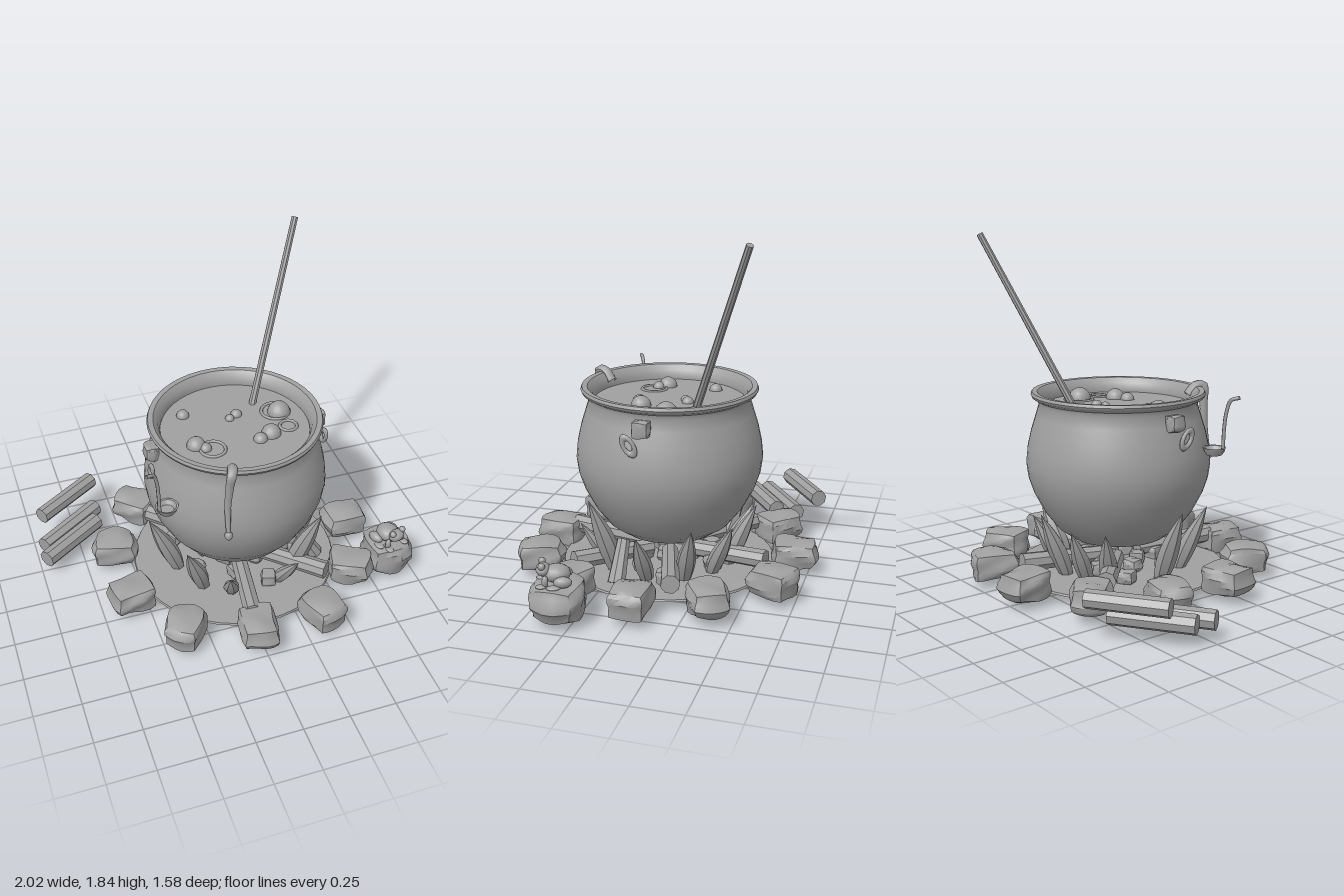
import * as THREE from 'three';
import { mergeVertices, toCreasedNormals } from 'three/addons/utils/BufferGeometryUtils.js';

const V = (x, y, z) => new THREE.Vector3(x, y, z);
const grey = new THREE.MeshStandardMaterial({ color: 0xa0a0a0, side: THREE.DoubleSide });
grey.name = 'plain grey';
const CX = 0.07, CZ = -0.01; // pot axis

export function createModel() {
  const root = new THREE.Group();
  root.name = 'cauldronOnFire';

  function add(name, geo, x = 0, y = 0, z = 0, parent = root) {
    const m = new THREE.Mesh(geo, grey);
    m.name = name;
    m.position.set(x, y, z);
    parent.add(m);
    return m;
  }
  // Straight round bar between two points
  function bar(name, a, b, ra, rb, sides) {
    const geo = toCreasedNormals(new THREE.CylinderGeometry(rb, ra, a.distanceTo(b), sides), 0.5);
    const mid = a.clone().add(b).multiplyScalar(0.5);
    const m = add(name, geo, mid.x, mid.y, mid.z);
    m.quaternion.setFromUnitVectors(V(0, 1, 0), b.clone().sub(a).normalize());
    return m;
  }
  const lathe = (pts, seg) =>
    toCreasedNormals(new THREE.LatheGeometry(pts.map(p => new THREE.Vector2(...p)), seg), 0.7);

  // Box pulled towards a rounded, lumpy rock
  function rockGeometry(w, h, d, seed) {
    let geo = new THREE.BoxGeometry(1, 1, 1, 5, 5, 5);
    geo.deleteAttribute('uv');
    geo.deleteAttribute('normal');
    geo = mergeVertices(geo, 1e-4);
    const p = geo.attributes.position, v = V(0, 0, 0);
    for (let i = 0; i < p.count; i++) {
      v.fromBufferAttribute(p, i);
      const ball = v.clone().normalize().multiplyScalar(0.58);
      v.lerp(ball, 0.55);
      const bump = 1 + 0.07 * Math.sin(7 * v.x + seed * 2.3) * Math.cos(6 * v.z + seed)
        + 0.06 * Math.sin(9 * v.y + 5 * v.x + seed * 1.7);
      p.setXYZ(i, v.x * w * bump, v.y * h * bump, v.z * d * bump);
    }
    return toCreasedNormals(geo, 0.55);
  }

  // Shallow ash bed
  add('ashBed', lathe([[0, 0], [0.25, 0.005], [0.45, 0.025], [0.57, 0.05], [0.565, 0.06],
    [0.4, 0.065], [0, 0.075]], 40), 0.065, 0, -0.005);

  // Cauldron with flared lip and inner wall
  add('pot', lathe([[0, 0.2], [0.15, 0.205], [0.25, 0.23], [0.33, 0.285], [0.4, 0.375], [0.455, 0.48],
    [0.482, 0.56], [0.493, 0.64], [0.485, 0.72], [0.465, 0.81], [0.44, 0.89], [0.422, 0.95],
    [0.43, 0.975], [0.457, 0.99], [0.464, 1.005], [0.458, 1.02], [0.43, 1.018], [0.405, 0.99],
    [0.395, 0.95], [0.4, 0.9]], 48), CX, 0, CZ);

  // Brew, bubbles and ripples
  const level = 0.94;
  add('brew', new THREE.CircleGeometry(0.4, 48).rotateX(-Math.PI / 2), CX, level, CZ);
  [[-0.16, -0.2, 0.035], [-0.17, 0.07, 0.05], [-0.13, 0.11, 0.032], [0.07, -0.095, 0.025],
    [0.115, -0.12, 0.031], [0.34, -0.07, 0.062], [0.235, 0.095, 0.053], [0.165, 0.125, 0.038]]
    .forEach(([x, z, r]) => add('bubble', new THREE.SphereGeometry(r, 16, 10), x, level, z));
  [[-0.095, 0.125, 0.065], [0.325, -0.085, 0.075], [0.345, 0.06, 0.045]].forEach(([x, z, r]) =>
    add('ripple', new THREE.TorusGeometry(r, 0.009, 6, 28).rotateX(Math.PI / 2), x, level, z));

  // Stirring stick
  bar('stirringStick', V(0.22, 0.9, -0.18), V(0.58, 1.835, -0.535), 0.021, 0.018, 8);

  // Side lugs, each with a hanging link
  for (const s of [-1, 1]) {
    add('lug', rockGeometry(0.07, 0.085, 0.085, s + 4), CX + s * 0.465, 0.91, 0);
    add('lugPlate', new THREE.BoxGeometry(0.05, 0.075, 0.08), CX + s * 0.455, 0.91, 0);
    const link = add('link', new THREE.TorusGeometry(0.026, 0.011, 8, 16).scale(1, 1.8, 1),
      CX + s * 0.482, 0.825, 0.06);
    link.rotation.set(0.55, Math.PI / 2, 0);
  }

  // Drip running over the lip
  const drip = new THREE.CatmullRomCurve3([V(-0.07, 0.97, 0.36), V(-0.085, 1.02, 0.4), V(-0.1, 1.02, 0.44),
    V(-0.11, 0.94, 0.435), V(-0.12, 0.8, 0.435), V(-0.125, 0.65, 0.46)]);
  const dripGeo = new THREE.TubeGeometry(drip, 30, 0.03, 8);
  const dp = dripGeo.attributes.position;
  for (let i = 0; i < dp.count; i++) { // thins as it runs down
    const t = Math.floor(i / 9) / 30, c = drip.getPointAt(t);
    const q = V(0, 0, 0).fromBufferAttribute(dp, i).sub(c).multiplyScalar(1 - 0.6 * t).add(c);
    dp.setXYZ(i, q.x, q.y, q.z);
  }
  dripGeo.computeVertexNormals();
  add('drip', dripGeo);
  add('dripDrop', new THREE.SphereGeometry(0.021, 12, 10).scale(1, 1.3, 1), -0.125, 0.64, 0.463);

  // Ladle hooked beside the pot
  add('ladleCup', lathe([[0, 0.71], [0.04, 0.712], [0.052, 0.73], [0.06, 0.752], [0.05, 0.75],
    [0.035, 0.728], [0, 0.725]], 16), -0.39, 0, 0.265);
  add('ladleHandle', new THREE.TubeGeometry(new THREE.CatmullRomCurve3([V(-0.435, 0.735, 0.285),
    V(-0.437, 0.84, 0.287), V(-0.445, 0.94, 0.295), V(-0.465, 1.005, 0.308), V(-0.505, 1.02, 0.33)]), 20, 0.01, 6));

  // Ring of stones: x, z
  [[-0.03, -0.68], [0.35, -0.63], [0.64, -0.37], [0.745, -0.01], [0.63, 0.36], [0.355, 0.62],
    [-0.02, 0.64], [-0.38, 0.51], [-0.59, 0.19], [-0.58, -0.2], [-0.38, -0.52]].forEach(([x, z], i) => {
    const stone = add('stone', rockGeometry(0.23, 0.145, 0.19, i * 1.9), x, 0.11, z);
    stone.rotation.y = -Math.atan2(z - CZ, x - CX) + 0.12 * Math.sin(i * 2.1);
  });
  add('toadStone', rockGeometry(0.25, 0.18, 0.24, 3.3), 0.87, 0.125, 0.32);

  // Toad sitting on its stone
  const toad = new THREE.Group();
  toad.name = 'toad';
  toad.position.set(0.865, 0.2, 0.325);
  toad.rotation.y = 0.35;
  root.add(toad);
  const blob = (name, r, x, y, z, sx = 1, sy = 1, sz = 1) =>
    add(name, new THREE.SphereGeometry(r, 14, 10).scale(sx, sy, sz), x, y, z, toad);
  blob('toadBody', 0.06, 0, 0.058, 0, 1, 0.75, 1.15);
  blob('toadHead', 0.045, 0, 0.08, 0.065, 1.1, 0.7, 0.8);
  for (const s of [-1, 1]) {
    blob('toadEye', 0.018, s * 0.036, 0.108, 0.07);
    blob('toadThigh', 0.035, s * 0.062, 0.035, -0.03, 0.8, 0.8, 1.3);
    blob('toadHindFoot', 0.022, s * 0.078, 0.014, 0.015, 1, 0.5, 1.6);
    blob('toadFrontLeg', 0.018, s * 0.05, 0.035, 0.055, 0.9, 1.7, 0.9);
    blob('toadFrontFoot', 0.02, s * 0.055, 0.012, 0.075, 1, 0.5, 1.4);
  }

  // Logs under the pot: outer end x, z
  [[0.18, -0.56], [-0.33, -0.39], [0.61, -0.17], [0.47, 0.39], [-0.02, 0.56]].forEach(([x, z]) =>
    bar('fireLog', V(x, 0.145, z), V(CX + (x - CX) * 0.2, 0.13, CZ + (z - CZ) * 0.2), 0.05, 0.045, 8));
  bar('leaningLog', V(0.5, 0.06, 0.15), V(0.39, 0.26, 0.145), 0.048, 0.034, 8);

  // Spare firewood beside the ring
  bar('spareLog', V(-0.94, 0.21, -0.48), V(-0.6, 0.21, -0.71), 0.047, 0.047, 8);
  bar('spareLog', V(-0.96, 0.105, -0.34), V(-0.61, 0.105, -0.58), 0.05, 0.05, 8);
  bar('spareLog', V(-0.97, 0.105, -0.23), V(-0.63, 0.105, -0.46), 0.05, 0.05, 8);

  // Embers in the middle
  for (let i = 0; i < 14; i++) {
    const a = i * 2.4, r = 0.08 + 0.022 * i;
    add('ember', rockGeometry(0.09, 0.07, 0.08, i), CX + r * Math.cos(a), 0.1, CZ + r * Math.sin(a)).rotation.y = a;
  }

  // Flames: bulged spikes curling outwards, given by tip x, y, z
  [[0.46, 0.48, 0.31], [0.555, 0.34, 0.03], [0.48, 0.38, -0.24], [0.3, 0.35, -0.41], [0.1, 0.41, -0.49],
    [-0.43, 0.45, 0.02], [-0.3, 0.41, 0.3], [-0.1, 0.28, 0.43], [-0.27, 0.36, -0.35], [-0.1, 0.35, -0.44],
    [0.29, 0.28, 0.42]].forEach(([x, y, z]) => {
    const tip = V(x, y, z), base = V(CX + (x - CX) * 0.68, 0.05, CZ + (z - CZ) * 0.68);
    const bend = V(CX + (x - CX) * 0.8, y * 0.55, CZ + (z - CZ) * 0.8);
    const curve = new THREE.QuadraticBezierCurve3(base, bend, tip);
    const geo = new THREE.CylinderGeometry(1, 1, 1, 7, 8);
    const p = geo.attributes.position, w = 0.028 + 0.06 * y;
    for (let i = 0; i < p.count; i++) {
      const t = p.getY(i) + 0.5, c = curve.getPoint(t);
      const r = w * Math.sin(Math.PI * (0.22 + 0.78 * t));
      p.setXYZ(i, c.x + p.getX(i) * r, c.y, c.z + p.getZ(i) * r);
    }
    add('flame', toCreasedNormals(geo, 0.5));
  });

  return root;
}
